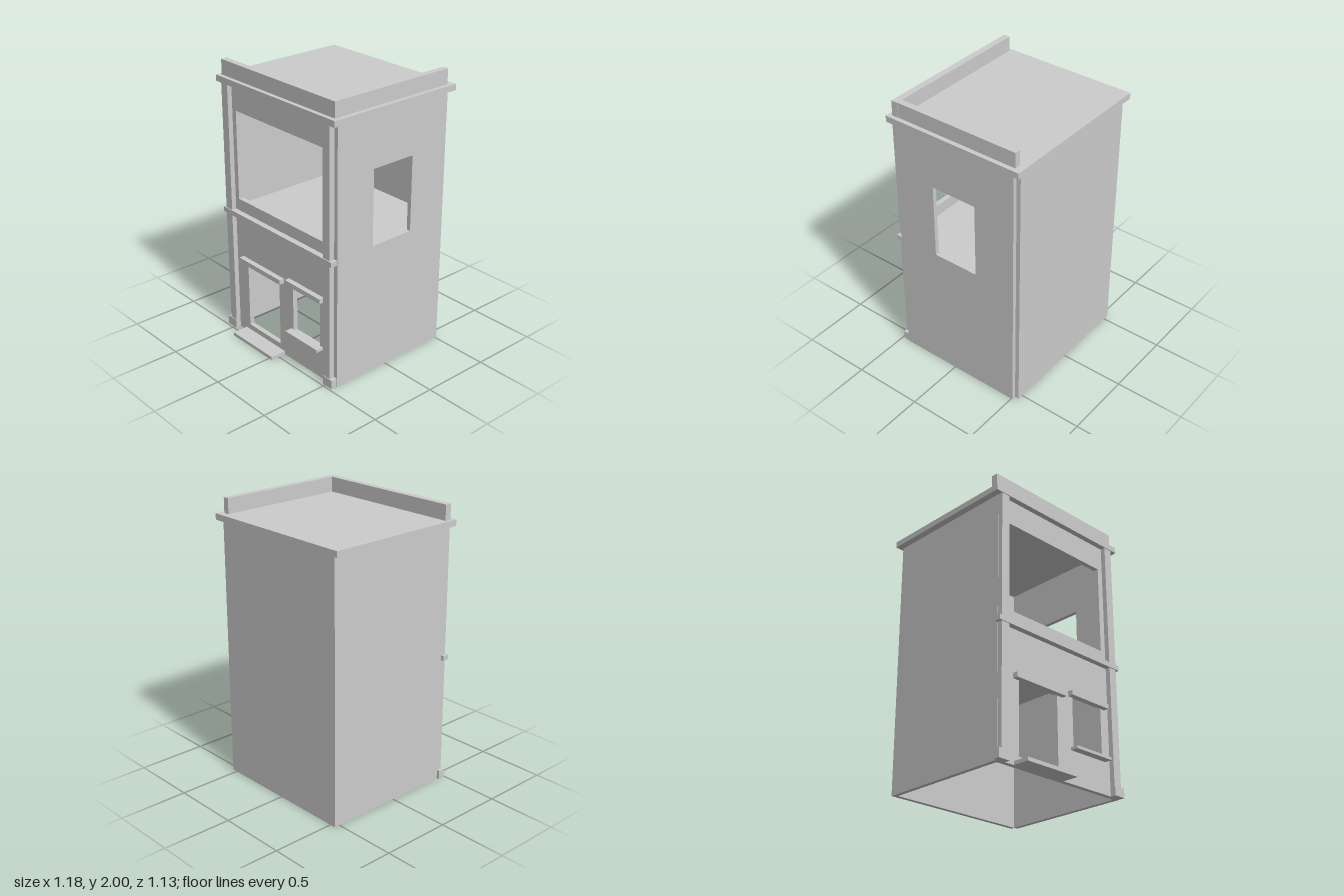
import * as THREE from 'three';

export function createModel() {
  const model = new THREE.Group();
  model.name = 'twoStoreyShell';
  const grey = new THREE.MeshStandardMaterial({ color: 0xcccccc });
  grey.name = 'plainGrey';

  const add = (name, geometry) => {
    const mesh = new THREE.Mesh(geometry, grey);
    mesh.name = name;
    model.add(mesh);
    return mesh;
  };

  // Box given by its limits on each axis
  const block = (name, [x0, x1], [y0, y1], [z0, z1]) => {
    const mesh = add(name, new THREE.BoxGeometry(x1 - x0, y1 - y0, z1 - z0));
    mesh.position.set((x0 + x1) / 2, (y0 + y1) / 2, (z0 + z1) / 2);
    return mesh;
  };

  // Flat wall with rectangular openings, each rectangle as [u0, u1, v0, v1]
  const trace = (path, [u0, u1, v0, v1]) => {
    path.moveTo(u0, v0);
    path.lineTo(u1, v0);
    path.lineTo(u1, v1);
    path.lineTo(u0, v1);
    path.closePath();
    return path;
  };
  const wall = (name, outline, openings, depth) => {
    const shape = trace(new THREE.Shape(), outline);
    openings.forEach((o) => shape.holes.push(trace(new THREE.Path(), o)));
    return add(name, new THREE.ExtrudeGeometry(shape, { depth, bevelEnabled: false }));
  };

  // Front wall: doorway, shop window and wide upper opening
  const front = wall('frontWall', [-0.545, 0.54, 0, 1.85], [
    [-0.36, -0.015, 0.065, 0.58],
    [0.13, 0.405, 0.235, 0.61],
    [-0.44, 0.435, 1.03, 1.67],
  ], 0.035);
  front.position.z = 0.41;

  // Right wall with one upper window; its outline runs along -z
  const right = wall('sideWallWithWindow', [-0.44, 0.51, 0, 1.85], [
    [-0.135, 0.205, 0.945, 1.485],
  ], 0.03);
  right.rotation.y = Math.PI / 2;
  right.position.x = 0.54;

  block('plainSideWall', [-0.545, -0.515], [0, 1.85], [-0.51, 0.41]);
  block('backWall', [-0.545, 0.54], [0, 1.85], [-0.54, -0.51]);
  block('upperFloor', [-0.515, 0.54], [0.925, 0.945], [-0.51, 0.41]);

  // Corner pilasters and their feet
  for (const side of [-1, 1]) {
    const span = (a, b) => [Math.min(side * a, side * b), Math.max(side * a, side * b)];
    block('cornerPilaster', span(0.478, 0.542), [0.065, 1.85], [0.445, 0.48]);
    block('pilasterFoot', span(0.478, 0.567), [0, 0.065], [0.44, 0.485]);
  }

  // Front mouldings
  block('storeyBand', [-0.565, 0.565], [0.907, 0.943], [0.44, 0.487]);
  block('doorLedge', [-0.41, 0.035], [0.565, 0.6], [0.445, 0.483]);
  block('windowLedge', [0.092, 0.445], [0.593, 0.627], [0.445, 0.483]);
  block('windowSill', [0.107, 0.435], [0.225, 0.245], [0.445, 0.5]);
  block('doorStep', [-0.405, 0.03], [0, 0.025], [0.445, 0.563]);

  // Roof slab with parapets on two sides
  block('roofSlab', [-0.592, 0.592], [1.85, 1.893], [-0.563, 0.485]);
  block('frontParapet', [-0.567, 0.563], [1.893, 2], [0.408, 0.455]);
  block('sideParapet', [0.515, 0.56], [1.893, 2], [-0.515, 0.408]);

  return model;
}
